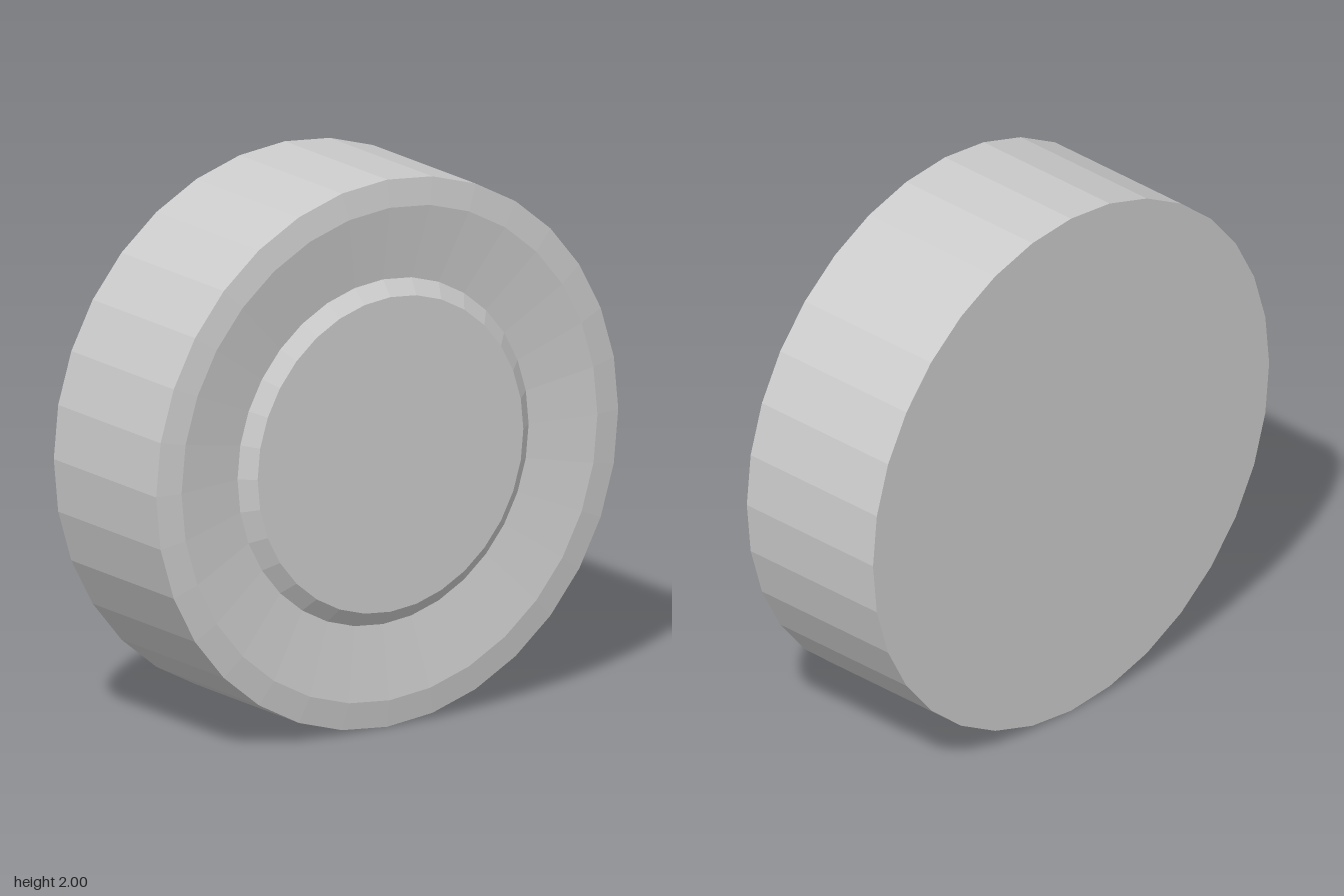
import * as THREE from 'three';

const SIDES = 32;

// Faceted turned part: profile is [radius, z] from back to front, axis along z
function turned(name, profile, material) {
  const points = profile.map(([r, z]) => new THREE.Vector2(r, z));
  const geometry = new THREE.LatheGeometry(points, SIDES);
  geometry.rotateX(Math.PI / 2);
  const mesh = new THREE.Mesh(geometry, material);
  mesh.name = name;
  mesh.position.y = 1;
  return mesh;
}

export function createModel() {
  const group = new THREE.Group();
  group.name = 'roundButton';
  const grey = new THREE.MeshStandardMaterial({ color: 0xcccccc, flatShading: true });

  // Housing: flat back, straight wall, bevelled rim and dished face
  group.add(turned('housing', [
    [0, -0.32], [1, -0.32], [1, 0.3], [0.9, 0.314], [0.63, 0.275],
  ], grey));

  // Raised centre disc with a sloped edge
  group.add(turned('centreDisc', [
    [0.63, 0.275], [0.575, 0.32], [0, 0.32],
  ], grey));

  return group;
}
